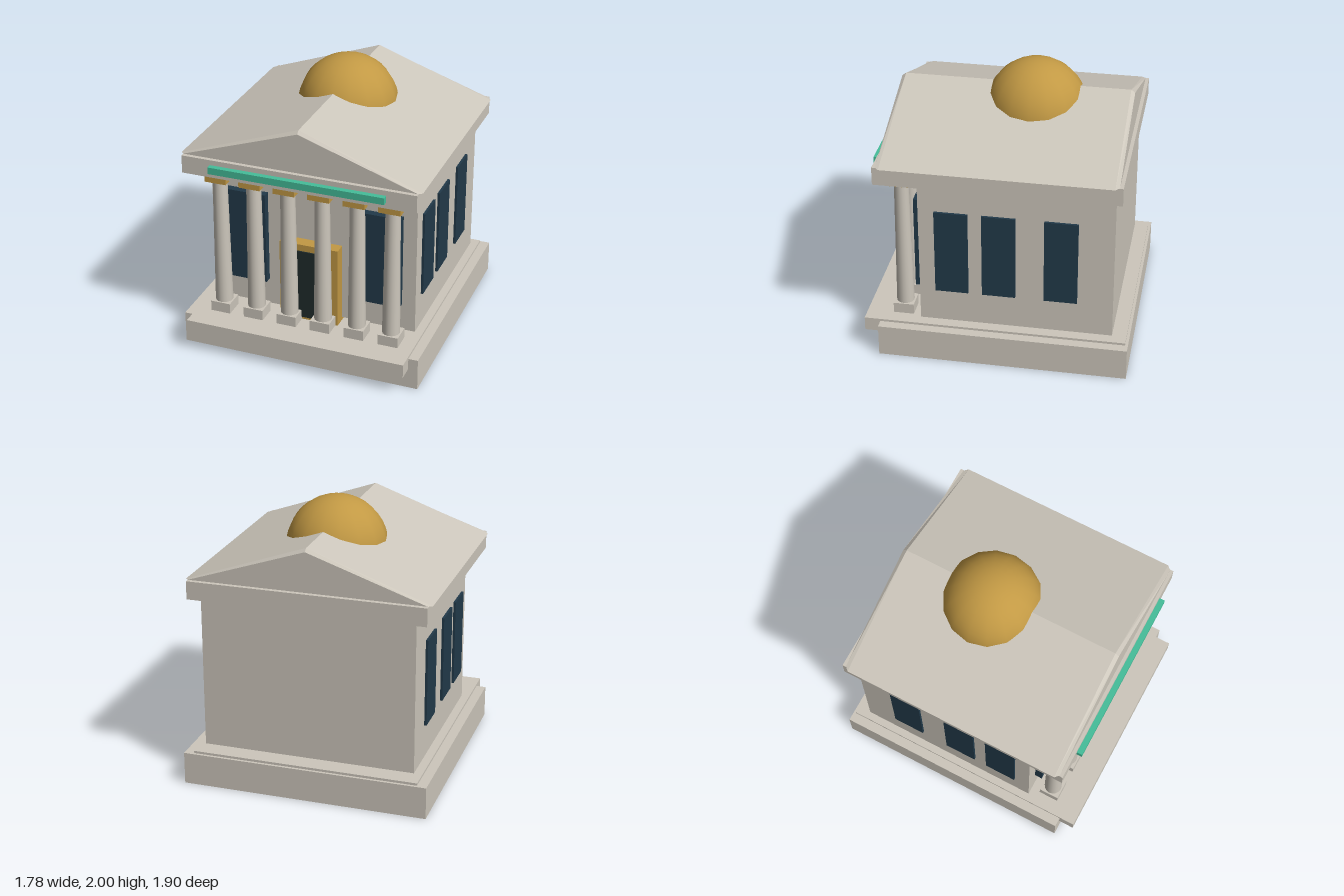
import * as THREE from 'three';

const mat = (name, color, roughness) => {
  const m = new THREE.MeshStandardMaterial({ color });
  m.name = name;
  return m;
};

export function createModel() {
  const model = new THREE.Group();
  model.name = 'templeBuilding';

  const stone = mat('stone', 0xcdc7bc);
  const gold = mat('gold', 0xc29944);
  const glass = mat('darkBlueGlass', 0x223a4a);
  const doorDark = mat('doorDark', 0x202c2c);
  const teal = mat('teal', 0x45be9a);

  const add = (name, geometry, material, parent = model) => {
    const mesh = new THREE.Mesh(geometry, material);
    mesh.name = name;
    parent.add(mesh);
    return mesh;
  };

  // Box given by its lower and upper limits on each axis
  const box = (name, material, [x0, x1], [y0, y1], [z0, z1], parent) => {
    const mesh = add(name, new THREE.BoxGeometry(x1 - x0, y1 - y0, z1 - z0), material, parent);
    mesh.position.set((x0 + x1) / 2, (y0 + y1) / 2, (z0 + z1) / 2);
    return mesh;
  };

  // Stepped base, hall and entablature
  box('base', stone, [-0.89, 0.89], [0, 0.235], [-0.95, 0.835]);
  box('porchFloor', stone, [-0.82, 0.82], [0.15, 0.252], [-0.93, 0.95]);
  box('hall', stone, [-0.77, 0.77], [0.273, 1.38], [-0.83, 0.545]);
  box('entablature', stone, [-0.855, 0.855], [1.38, 1.512], [-0.88, 0.835]);
  box('frieze', teal, [-0.64, 0.64], [1.425, 1.475], [0.83, 0.875]);

  // Gabled roof with bevelled ends
  const gable = new THREE.Shape();
  gable.moveTo(-0.85, 1.515);
  gable.lineTo(0.85, 1.515);
  gable.lineTo(0, 1.803);
  gable.closePath();
  const roof = new THREE.ExtrudeGeometry(gable, {
    depth: 1.61, bevelEnabled: true, bevelSegments: 1, bevelSize: 0.02, bevelThickness: 0.028,
  });
  add('roof', roof, stone).position.z = -0.827;

  // Dome rising through the ridge
  const dome = new THREE.SphereGeometry(0.363, 16, 10, 0, Math.PI * 2, 0, Math.PI / 2);
  add('dome', dome, gold).position.set(0, 1.637, -0.16);

  // Six tapered columns with plinths and capitals
  for (let i = 0; i < 6; i++) {
    const column = new THREE.Group();
    column.name = 'column';
    column.position.set((i - 2.5) * 0.256, 0, 0.685);
    model.add(column);
    box('plinth', stone, [-0.074, 0.074], [0.25, 0.33], [-0.074, 0.074], column);
    const shaft = new THREE.CylinderGeometry(0.052, 0.064, 0.97, 16);
    add('shaft', shaft, stone, column).position.y = 0.815;
    box('capital', gold, [-0.08, 0.08], [1.3, 1.367], [-0.08, 0.08], column);
  }

  // Doorway
  box('doorFrame', gold, [-0.22, 0.22], [0.252, 0.86], [0.5, 0.635]);
  box('door', doorDark, [-0.165, 0.165], [0.273, 0.81], [0.6, 0.645]);

  // Front and side windows, mirrored
  for (const s of [-1, 1]) {
    box('frontWindow', glass, [s * 0.505 - 0.165, s * 0.505 + 0.165], [0.478, 1.18], [0.53, 0.6]);
    for (const z of [0.312, -0.022, -0.46]) {
      box('sideWindow', glass, [s * 0.773 - 0.014, s * 0.773 + 0.014], [0.523, 1.16], [z - 0.118, z + 0.118]);
    }
  }

  return model;
}
